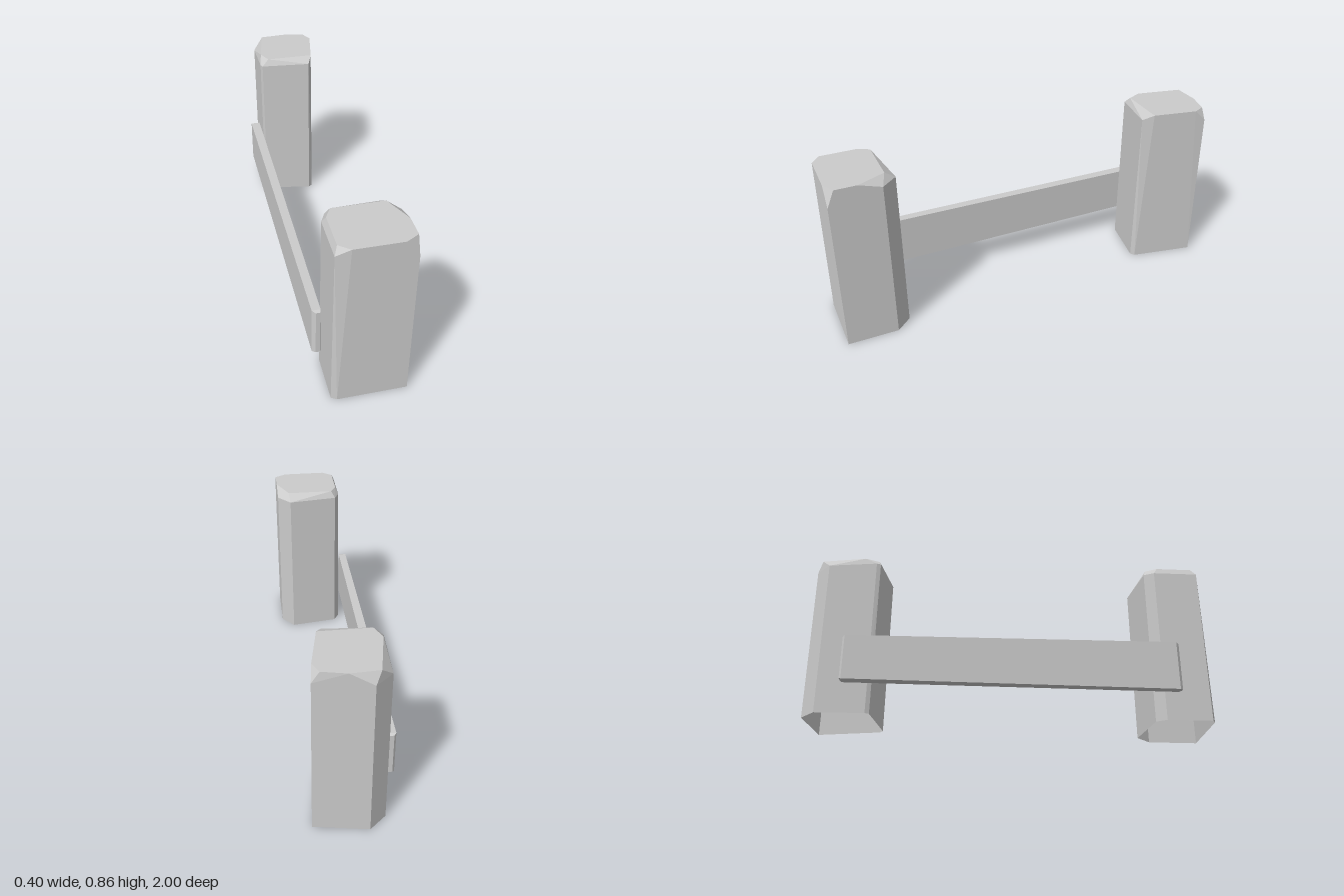
import * as THREE from 'three';
import { ConvexGeometry } from 'three/addons/geometries/ConvexGeometry.js';

const material = new THREE.MeshStandardMaterial({ color: 0xcccccc, flatShading: true, side: THREE.DoubleSide });

// Convex hull of [x, y, z] corners; openBase drops the faces lying on the ground
function hull(name, corners, openBase) {
  let geometry = new ConvexGeometry(corners.map((c) => new THREE.Vector3(...c)));
  if (openBase) {
    const p = geometry.attributes.position;
    const kept = [];
    for (let i = 0; i < p.count; i += 3) {
      if (Math.max(p.getY(i), p.getY(i + 1), p.getY(i + 2)) < 0.001) continue;
      for (let k = i; k < i + 3; k++) kept.push(p.getX(k), p.getY(k), p.getZ(k));
    }
    geometry = new THREE.BufferGeometry();
    geometry.setAttribute('position', new THREE.Float32BufferAttribute(kept, 3));
    geometry.computeVertexNormals();
  }
  const mesh = new THREE.Mesh(geometry, material);
  mesh.name = name;
  return mesh;
}

// Roughly hewn post: base ring [x, z], shoulder corners [x, y, z], top ring [x, z]
function post(name, base, shoulder, top) {
  const height = 0.855;
  return hull(name, [
    ...base.map(([x, z]) => [x, 0, z]),
    ...shoulder,
    ...top.map(([x, z]) => [x, height, z]),
  ], true);
}

export function createModel() {
  const group = new THREE.Group();
  group.name = 'fence';

  group.add(post('frontPost',
    [[0.135, 0.675], [0.2, 0.75], [0.2, 1], [-0.125, 1], [-0.15, 0.985], [-0.15, 0.76], [-0.12, 0.71]],
    [[0.135, 0.82, 0.675], [0.2, 0.82, 0.75], [0.2, 0.77, 1], [-0.145, 0.82, 0.985],
      [-0.145, 0.82, 0.76], [-0.12, 0.82, 0.71]],
    [[0.14, 1], [0.2, 0.965], [0.2, 0.86], [0.14, 0.725], [-0.1, 0.725], [-0.13, 0.78], [-0.13, 0.96], [-0.08, 1]]));

  group.add(post('backPost',
    [[-0.065, -1], [0.19, -0.955], [0.13, -0.64], [0.11, -0.625], [-0.14, -0.67], [-0.15, -0.69], [-0.145, -0.93]],
    [[-0.065, 0.8, -1], [0.185, 0.8, -0.955], [0.11, 0.83, -0.625], [-0.14, 0.82, -0.67],
      [-0.148, 0.82, -0.69], [-0.145, 0.8, -0.93]],
    [[-0.09, -0.975], [0.04, -0.982], [0.15, -0.957], [0.177, -0.9], [0.135, -0.68], [-0.105, -0.68], [-0.135, -0.75]]));

  // Rail, slightly tapered, with chamfered ends
  const rail = [];
  for (const [z, x0, x1, y0, y1] of [
    [-0.82, -0.19, -0.16, 0.16, 0.375],
    [-0.81, -0.2, -0.152, 0.153, 0.382],
    [0.825, -0.2, -0.16, 0.142, 0.393],
    [0.84, -0.185, -0.165, 0.147, 0.388],
  ]) {
    for (const x of [x0, x1]) for (const y of [y0, y1]) rail.push([x, y, z]);
  }
  group.add(hull('rail', rail, false));

  return group;
}
